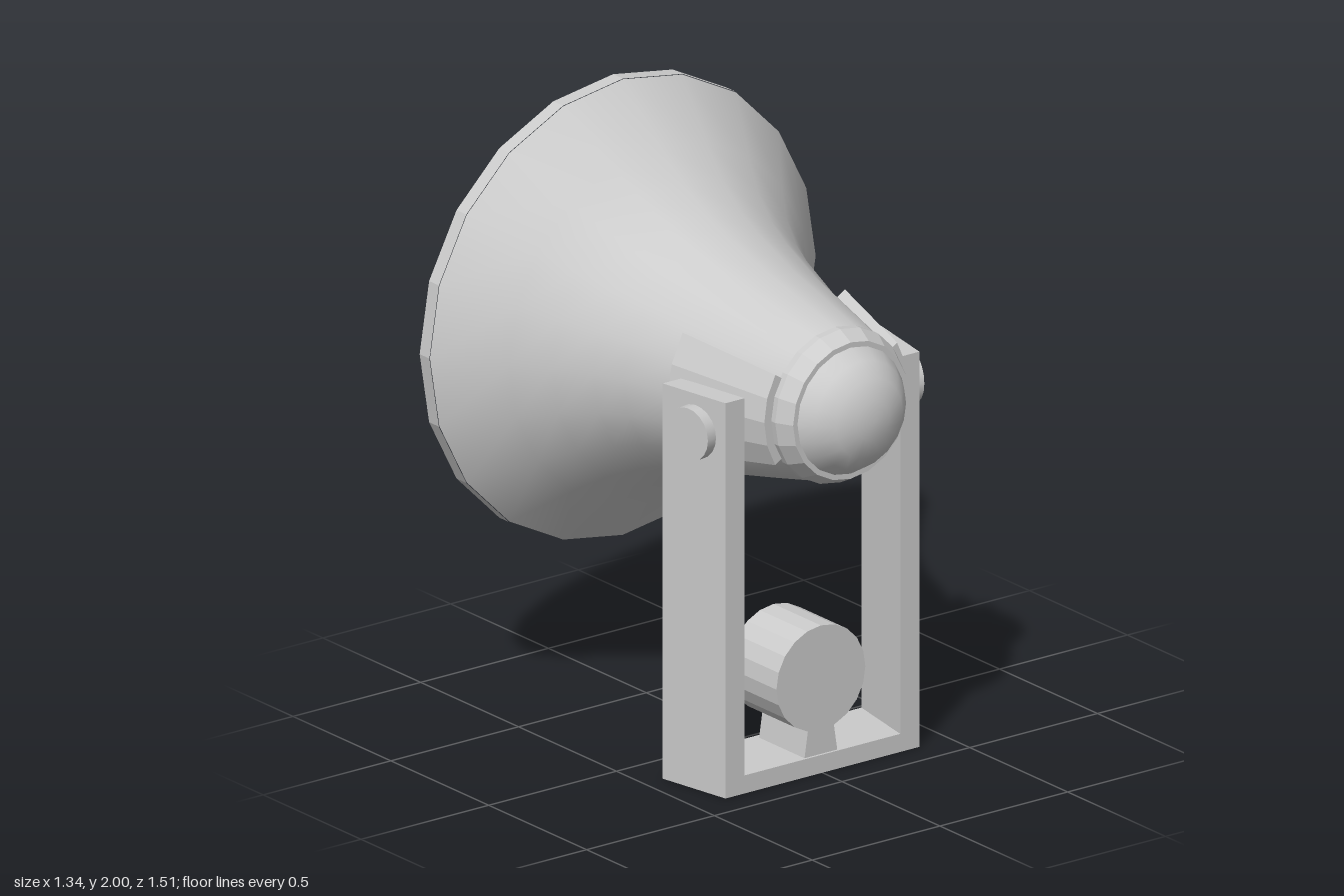
import * as THREE from 'three';
import { toCreasedNormals } from 'three/addons/utils/BufferGeometryUtils.js';

const AXIS_Y = 1.243; // height of the horn axis
const SIDES = 20;
const ARM_X = 0.27; // middle of the bracket along x
const TAPER = 0.18; // inward lean of the arms, following the horn

const grey = new THREE.MeshStandardMaterial({ color: 0xcccccc });
const greyFlat = new THREE.MeshStandardMaterial({ color: 0xcccccc, flatShading: true });

function add(parent, name, geometry, material = grey) {
  const mesh = new THREE.Mesh(geometry, material);
  mesh.name = name;
  parent.add(mesh);
  return mesh;
}

// Turned part along x; profile is a list of [x, radius], outer side towards +x
function turned(profile, crease = 0.55) {
  const points = profile.map(([x, r]) => new THREE.Vector2(r, x));
  const g = new THREE.LatheGeometry(points, SIDES).rotateZ(-Math.PI / 2);
  return toCreasedNormals(g, crease);
}

// Move every vertex of a geometry by a rule
function reshape(geometry, rule) {
  const p = geometry.attributes.position;
  const v = new THREE.Vector3();
  for (let i = 0; i < p.count; i++) {
    rule(v.fromBufferAttribute(p, i));
    p.setXYZ(i, v.x, v.y, v.z);
  }
  geometry.computeVertexNormals();
  return geometry;
}

// Box whose z ends lean inwards towards +x
function leaningBox(y0, y1, z0, z1) {
  const g = new THREE.BoxGeometry(0.26, y1 - y0, z1 - z0).translate(ARM_X, (y0 + y1) / 2, (z0 + z1) / 2);
  return reshape(g, v => { v.z -= Math.sign(v.z) * TAPER * (v.x - ARM_X); });
}

// Curved saddle pad: an arc section extruded along the horn and tapered with it
function padGeometry() {
  const shape = new THREE.Shape();
  const steps = 4, half = 0.56, outer = 0.375, inner = 0.32, length = 0.37;
  for (let i = 0; i <= steps; i++) {
    const a = -half + (2 * half * i) / steps;
    shape[i ? 'lineTo' : 'moveTo'](outer * Math.cos(a), outer * Math.sin(a));
  }
  for (let i = steps; i >= 0; i--) {
    const a = -half + (2 * half * i) / steps;
    shape.lineTo(inner * Math.cos(a), inner * Math.sin(a));
  }
  const g = new THREE.ExtrudeGeometry(shape, { depth: length, bevelEnabled: false });
  reshape(g, v => {
    const k = 1 - 0.25 * v.z / length;
    v.x *= k;
    v.y *= k;
  });
  return g.rotateY(Math.PI / 2).translate(0.1, 0, 0);
}

export function createModel() {
  const model = new THREE.Group();
  model.name = 'hornLoudspeaker';

  // Horn with everything that is turned around its axis
  const horn = new THREE.Group();
  horn.name = 'horn';
  horn.position.y = AXIS_Y;
  model.add(horn);

  add(horn, 'hornShell', turned([
    [-0.62, 0.755], [-0.43, 0.59], [-0.32, 0.505], [-0.2, 0.437], [-0.1, 0.397],
    [0.1, 0.335], [0.3, 0.29], [0.47, 0.25],
  ]));
  add(horn, 'hornInside', turned([
    [0.45, 0], [0.45, 0.225], [0.3, 0.262], [0.1, 0.307], [-0.1, 0.368], [-0.2, 0.408],
    [-0.32, 0.475], [-0.43, 0.555], [-0.6, 0.7],
  ]));
  add(horn, 'mouthRim', turned([
    [-0.6, 0.7], [-0.67, 0.712], [-0.67, 0.757], [-0.62, 0.757],
  ]), greyFlat);
  add(horn, 'centrePlug', turned([
    [-0.62, 0], [-0.62, 0.058], [0.45, 0.135],
  ]));
  add(horn, 'collar', turned([
    [0.462, 0.24], [0.465, 0.254], [0.49, 0.254], [0.545, 0.226], [0.545, 0.2],
  ]), greyFlat);
  add(horn, 'rearDome', turned([
    [0.54, 0.212], [0.595, 0.178], [0.64, 0.13], [0.66, 0.065], [0.67, 0],
  ]));

  // Saddle pads on both sides of the horn
  for (const side of [0, Math.PI]) {
    add(horn, 'saddlePad', padGeometry(), greyFlat).rotation.x = side;
  }

  // U-shaped bracket with a pivot bolt on each arm
  const bracket = new THREE.Group();
  bracket.name = 'bracket';
  model.add(bracket);
  add(bracket, 'bracketBase', leaningBox(0, 0.06, -0.39, 0.39), greyFlat);
  for (const s of [-1, 1]) {
    const z = [0.328 * s, 0.403 * s].sort((a, b) => a - b);
    add(bracket, 'bracketArm', leaningBox(0, 1.31, z[0], z[1]), greyFlat);
    const bolt = new THREE.CylinderGeometry(0.088, 0.088, 0.08, SIDES).rotateX(Math.PI / 2);
    const mesh = add(bracket, 'pivotBolt', bolt);
    mesh.position.set(0.274, 1.185, 0.4 * s);
    mesh.rotation.y = TAPER * s;
  }

  // Small round unit on the bracket base, its lens facing the same way as the horn
  const unit = new THREE.Group();
  unit.name = 'smallUnit';
  unit.position.y = 0.312;
  model.add(unit);
  add(unit, 'unitBody', turned([
    [0.19, 0.142], [0.15, 0.148], [0.15, 0.174], [0.392, 0.174], [0.392, 0],
  ], 0.2));
  add(unit, 'unitLens', turned([
    [0.126, 0], [0.131, 0.045], [0.145, 0.085], [0.164, 0.118], [0.19, 0.143],
  ]));
  const foot = new THREE.BoxGeometry(0.232, 0.11, 0.12).translate(0.276, 0.11, 0);
  reshape(foot, v => { v.z *= v.y > 0.1 ? 0.8 : 1.08; });
  add(model, 'unitFoot', foot, greyFlat);

  return model;
}
